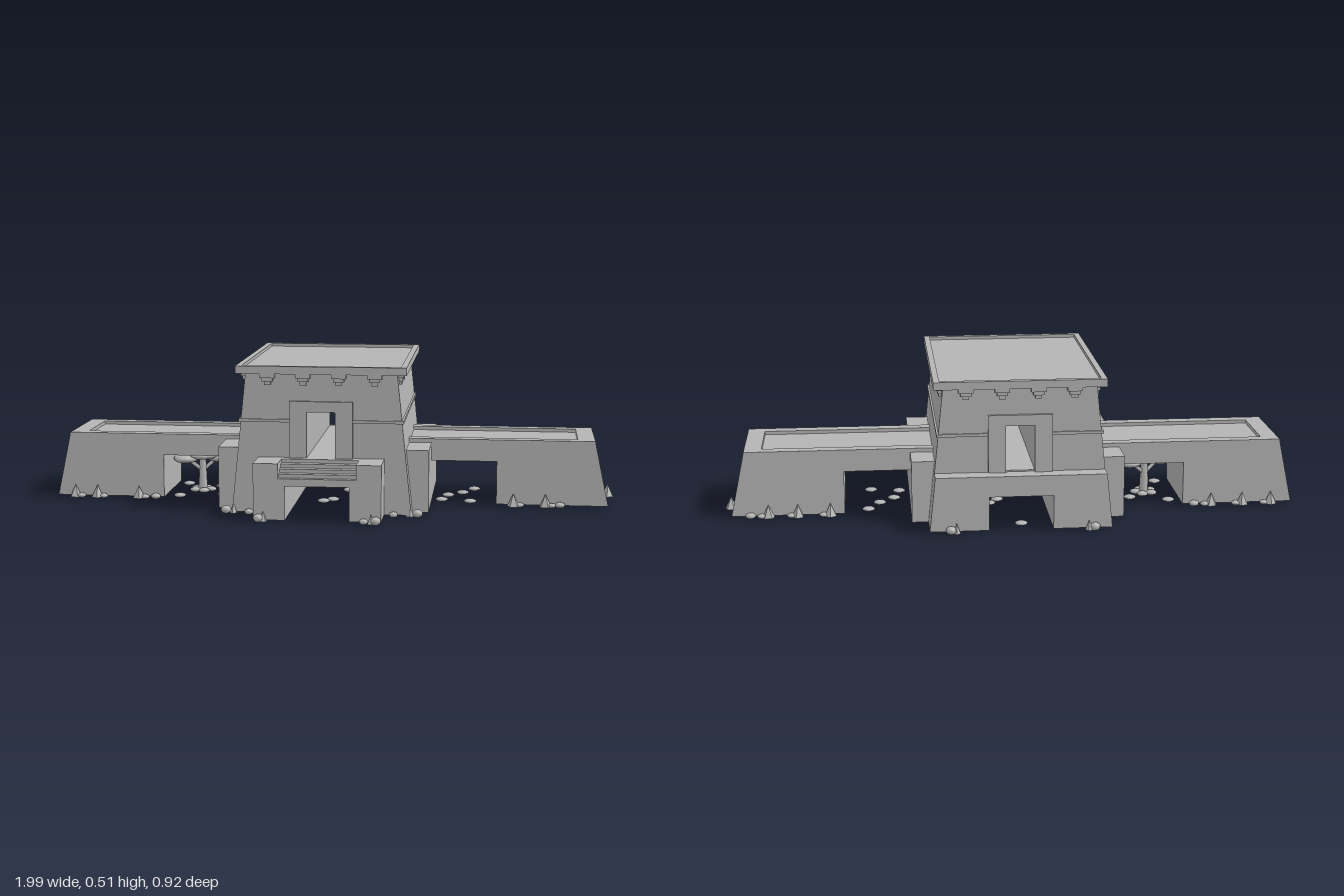
import * as THREE from 'three';

export function createModel() {
  const model = new THREE.Group();
  model.name = 'desertTemple';
  const stone = new THREE.MeshStandardMaterial({ color: 0xb4b4b4 });
  stone.name = 'grey stone';

  const building = new THREE.Group();
  building.name = 'building';
  building.position.x = -0.005;
  model.add(building);

  function add(name, geometry, parent = building) {
    const mesh = new THREE.Mesh(geometry, stone);
    mesh.name = name;
    parent.add(mesh);
    return mesh;
  }
  // Box from its lower and upper limits on each axis
  function box(name, x0, x1, y0, y1, z0, z1) {
    const g = new THREE.BoxGeometry(Math.abs(x1 - x0), y1 - y0, z1 - z0);
    add(name, g).position.set((x0 + x1) / 2, (y0 + y1) / 2, (z0 + z1) / 2);
  }
  // Front outline extruded from z0 to z1
  function slab(name, points, z0, z1, hole) {
    const shape = new THREE.Shape(points.map(p => new THREE.Vector2(...p)));
    if (hole) shape.holes.push(new THREE.Path(hole.map(p => new THREE.Vector2(...p))));
    const g = new THREE.ExtrudeGeometry(shape, { depth: z1 - z0, bevelEnabled: false });
    g.translate(0, 0, z0);
    add(name, g);
  }

  const FRONT = 0.307, BACK = -0.38, BASE = 0.01;
  const halfWidth = y => 0.305 - 0.105 * (y - BASE);

  // Battered outline with the tunnel cut into its foot
  const towerOutline = top => [
    [-halfWidth(BASE), BASE], [-0.107, BASE], [-0.107, 0.125], [0.107, 0.125], [0.107, BASE],
    [halfWidth(BASE), BASE], [halfWidth(top), top], [-halfWidth(top), top],
  ];
  slab('towerBody', towerOutline(0.487), BACK, FRONT,
    [[-0.048, 0.2], [-0.048, 0.356], [0.048, 0.356], [0.048, 0.2]]);
  slab('rearTerrace', towerOutline(0.195), -0.435, BACK);

  // Door surrounds, front and back
  const frame = [[-0.107, 0.195], [-0.048, 0.195], [-0.048, 0.356], [0.048, 0.356],
    [0.048, 0.195], [0.107, 0.195], [0.107, 0.392], [-0.107, 0.392]];
  slab('frontDoorFrame', frame, FRONT, FRONT + 0.01);
  slab('backDoorFrame', frame, BACK - 0.011, BACK);

  // String course around the tower, broken by the doors
  for (const s of [-1, 1]) {
    const w = halfWidth(0.325) + 0.006;
    box('sideBand', s * (w - 0.02), s * w, 0.32, 0.33, BACK - 0.006, FRONT + 0.006);
    box('frontBand', s * 0.107, s * w, 0.32, 0.33, FRONT - 0.01, FRONT + 0.005);
    box('backBand', s * 0.107, s * w, 0.32, 0.33, BACK - 0.005, BACK + 0.01);
  }

  // Roof slab with a raised rim
  const X = 0.287, Z0 = -0.402, Z1 = 0.326, RIM = 0.02;
  box('roofSlab', -X, X, 0.484, 0.499, Z0, Z1);
  for (const s of [-1, 1]) box('roofSideRim', s * (X - RIM), s * X, 0.499, 0.51, Z0, Z1);
  box('roofFrontRim', -X + RIM, X - RIM, 0.499, 0.51, Z1 - RIM, Z1);
  box('roofBackRim', -X + RIM, X - RIM, 0.499, 0.51, Z0, Z0 + RIM);

  // Stepped corbels under the roof
  [[0.025, 0.47, 0.484, 0.018], [0.018, 0.458, 0.47, 0.013], [0.011, 0.446, 0.458, 0.008]]
    .forEach(([w, y0, y1, out]) => {
      for (const s of [-1, 1]) for (const z of [0.25, 0.108, -0.037, -0.182, -0.327])
        box('sideCorbel', s * 0.24, s * (halfWidth(y0) + out), y0, y1, z - w, z + w);
      for (const x of [-0.18, -0.06, 0.06, 0.18]) {
        box('frontCorbel', x - w, x + w, y0, y1, FRONT - 0.01, FRONT + out);
        box('backCorbel', x - w, x + w, y0, y1, BACK - out, BACK + 0.01);
      }
    });

  // Front porch: two piers, bridge and steps
  for (const s of [-1, 1]) {
    box('porchPier', s * 0.13, s * 0.213, BASE, 0.2, FRONT, 0.43);
    box('porchPierFoot', s * 0.107, s * 0.13, BASE, 0.125, FRONT, 0.43);
  }
  [0.43, 0.412, 0.388, 0.362, 0.337].forEach((z, i) => {
    const y = 0.15 + i * 0.0125;
    box('porchStep', -0.13, 0.13, i ? y - 0.0125 : 0.125, y, FRONT, z);
  });

  // Flanking blocks and gated wings
  for (const s of [-1, 1]) {
    box('flankBlock', s * 0.2, s * 0.36, BASE, 0.222, -0.328, 0.252);
    slab('wing', [[0.24, BASE], [0.36, BASE], [0.36, 0.16], [0.586, 0.16], [0.586, BASE],
      [0.97, BASE], [0.924, 0.224], [0.24, 0.224]].map(([x, y]) => [s * x, y]), -0.212, 0.09);
    const end = [[0.863, 0.224], [0.924, 0.224], [0.922, 0.236], [0.863, 0.236]];
    slab('wingEndRim', end.map(([x, y]) => [s * x, y]), -0.212, 0.09);
    box('wingFrontRim', s * 0.24, s * 0.863, 0.224, 0.236, 0.05, 0.09);
    box('wingBackRim', s * 0.24, s * 0.863, 0.224, 0.236, -0.212, -0.174);
  }

  // Boulders and pointed rocks
  const boulderGeo = new THREE.SphereGeometry(1, 10, 7);
  const spikeGeo = new THREE.ConeGeometry(1, 1, 5).toNonIndexed();
  spikeGeo.computeVertexNormals();
  const scenery = new THREE.Group();
  scenery.name = 'scenery';
  model.add(scenery);
  function boulder(x, z, r, h = 0.012, y = h + 0.003) {
    const m = add('boulder', boulderGeo, scenery);
    m.position.set(x, y, z);
    m.scale.set(r, h, r * 0.9);
  }
  function spike(x, z, r, h) {
    const m = add('pointedRock', spikeGeo, scenery);
    m.position.set(x, 0.006 + h / 2, z);
    m.scale.set(r, h, r);
    m.rotation.y = x * 9;
  }
  // Rocks along the wing walls
  for (const [x, z] of [[-0.91, 0.1], [-0.83, 0.1], [-0.68, 0.1], [0.64, 0.1], [0.75, 0.1],
    [-0.9, -0.22], [-0.8, -0.22], [-0.69, -0.22], [0.63, -0.22], [0.74, -0.22], [0.84, -0.22]]) {
    spike(x, z, 0.022, 0.045);
    boulder(x + 0.022, z, 0.016, 0.008);
  }
  for (const [x, z] of [[-0.62, 0.098], [0.8, 0.098], [-0.63, -0.218], [0.9, -0.218]])
    boulder(x, z, 0.018, 0.01);
  spike(-0.978, -0.015, 0.02, 0.045);
  spike(0.973, -0.11, 0.022, 0.045);
  // Rocks around the tower
  for (const [x, z] of [[-0.33, 0.31], [0.32, 0.305], [-0.2, 0.435], [0.19, 0.44],
    [-0.25, -0.445], [0.23, -0.445]]) {
    boulder(x, z, 0.018, 0.014);
    spike(x * 0.92, z, 0.014, 0.035);
  }
  for (const [x, z] of [[-0.25, 0.32], [0.24, 0.315], [0.15, 0.435]]) boulder(x, z, 0.015, 0.01);
  // Loose stones in the passages
  for (const [x, z] of [[-0.02, 0.1], [0.01, 0.07], [0.05, -0.1], [0.08, -0.14], [-0.01, -0.37],
    [0.39, 0.03], [0.41, -0.05], [0.46, -0.1], [0.49, 0.05], [0.5, -0.17],
    [-0.39, 0.02], [-0.42, -0.12], [-0.54, 0.06], [-0.55, -0.16]]) boulder(x, z, 0.022, 0.008);

  // Flat-topped tree in the gateway
  const tree = new THREE.Group();
  tree.name = 'tree';
  tree.position.set(-0.48, 0, -0.06);
  scenery.add(tree);
  add('trunk', new THREE.CylinderGeometry(0.012, 0.017, 0.11, 8), tree).position.y = 0.065;
  for (const [x, y, z, r] of [[0, 0.138, 0, 0.06], [-0.058, 0.126, 0.02, 0.046], [0.055, 0.126, -0.02, 0.042]]) {
    const crown = add('crown', boulderGeo, tree);
    crown.position.set(x, y, z);
    crown.scale.set(r, 0.017, r);
    const path = new THREE.LineCurve3(new THREE.Vector3(0, 0.08, 0), new THREE.Vector3(x * 0.8, y - 0.006, z * 0.8));
    add('branch', new THREE.TubeGeometry(path, 1, 0.007, 6), tree);
  }
  for (let i = 0; i < 5; i++) {
    const a = i * Math.PI * 0.4;
    boulder(-0.48 + 0.03 * Math.cos(a), -0.06 + 0.03 * Math.sin(a), 0.02, 0.009);
  }
  return model;
}
